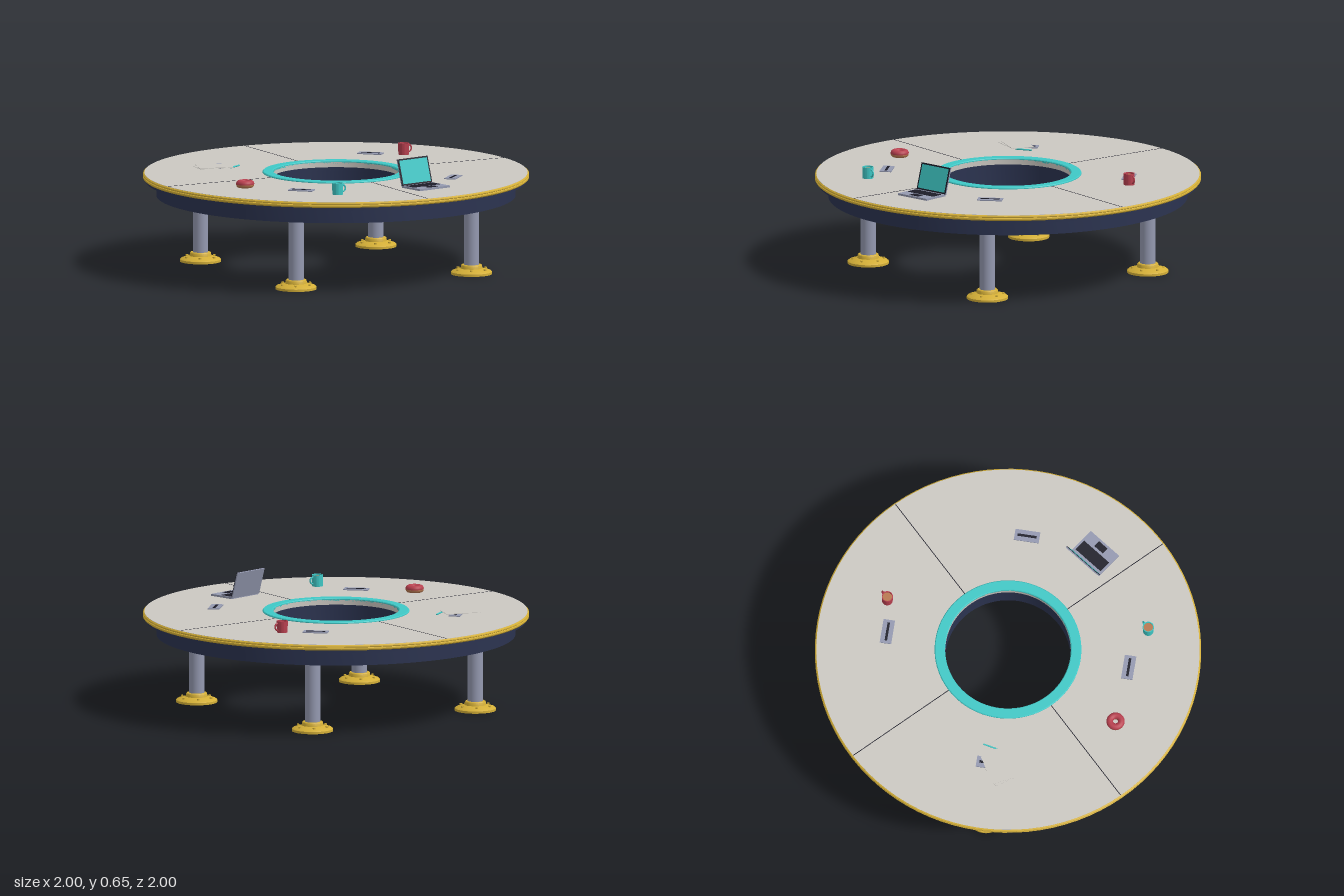
import * as THREE from 'three';
import { toCreasedNormals } from 'three/addons/utils/BufferGeometryUtils.js';

const mat = (name, color, side = THREE.FrontSide) => {
  const m = new THREE.MeshStandardMaterial({ color, side });
  m.name = name;
  return m;
};

export function createModel() {
  const desk = mat('deskGrey', 0xcbc8c2);
  const navy = mat('navy', 0x2b3350);
  const gold = mat('gold', 0xd4af37);
  const steel = mat('steel', 0x9499b0);
  const teal = mat('teal', 0x3fc8c6);
  const dark = mat('darkTrim', 0x1c1c28);
  const red = mat('red', 0xb8404f);
  const brown = mat('coffeeBrown', 0xb87850);

  const root = new THREE.Group();
  root.name = 'roundTable';

  const add = (parent, name, geo, material, x = 0, y = 0, z = 0) => {
    const m = new THREE.Mesh(geo, material);
    m.name = name;
    m.position.set(x, y, z);
    parent.add(m);
    return m;
  };
  const group = (name, x, y, z, rotY = 0) => {
    const g = new THREE.Group();
    g.name = name;
    g.position.set(x, y, z);
    g.rotation.y = rotY;
    root.add(g);
    return g;
  };
  // Revolved profile, points listed bottom to top along the outside
  const lathe = (pts, seg = 96) => toCreasedNormals(
    new THREE.LatheGeometry(pts.map(p => new THREE.Vector2(p[0], p[1])), seg), 0.6);
  // Closed ring with rectangular section
  const ring = (r0, r1, y0, y1) =>
    lathe([[r0, y0], [r1, y0], [r1, y1], [r0, y1], [r0, y0]]);

  const TOP = 0.5;

  // Table body
  add(root, 'tabletop', ring(0.325, 0.992, 0.474, TOP), desk);
  add(root, 'outerRim', lathe([[0.98, 0.47], [0.994, 0.47], [1, 0.476], [1, 0.483], [0.996, 0.486],
    [1, 0.489], [0.999, 0.494], [0.993, 0.499], [0.98, 0.499]]), gold);
  add(root, 'underBoard', ring(0.325, 0.985, 0.455, 0.474), navy);
  add(root, 'apron', ring(0.83, 0.93, 0.38, 0.456), navy);
  add(root, 'innerDrum', lathe([[0.325, 0.355], [0.388, 0.355], [0.395, 0.362], [0.395, 0.456],
    [0.325, 0.456], [0.325, 0.355]]), navy);
  add(root, 'innerRing', lathe([[0.325, 0.494], [0.38, 0.494], [0.38, 0.504], [0.376, 0.508],
    [0.329, 0.508], [0.325, 0.504], [0.325, 0.494]]), teal);

  // Panel seams
  for (let i = 0; i < 4; i++) {
    const g = group('seam', 0, TOP, 0, i * Math.PI / 2);
    add(g, 'seamLine', new THREE.BoxGeometry(0.61, 0.001, 0.004), dark, 0.685, 0.0003, 0);
  }

  // Legs with feet, bolts and collars; power outlets inboard of each
  const footGeo = lathe([[0, 0], [0.107, 0], [0.107, 0.012], [0.1, 0.018], [0.057, 0.03],
    [0.054, 0.046], [0.05, 0.05], [0, 0.05]], 40);
  const boltGeo = new THREE.CylinderGeometry(0.007, 0.007, 0.008, 6);
  for (const sx of [-1, 1]) for (const sz of [-1, 1]) {
    const leg = group('leg', sx * 0.517, 0, sz * 0.517);
    add(leg, 'post', new THREE.CylinderGeometry(0.04, 0.04, 0.41, 32), steel, 0, 0.25, 0);
    add(leg, 'foot', footGeo, gold);
    add(leg, 'collar', new THREE.CylinderGeometry(0.075, 0.075, 0.018, 32), navy, 0, 0.447, 0);
    for (let i = 0; i < 6; i++) {
      const a = i * Math.PI / 3;
      add(leg, 'bolt', boltGeo, gold, Math.cos(a) * 0.082, 0.026, Math.sin(a) * 0.082);
    }
    const outlet = group('powerOutlet', sx * 0.447, TOP, sz * 0.447, sx * sz * Math.PI / 4);
    add(outlet, 'plate', new THREE.BoxGeometry(0.13, 0.006, 0.06), steel, 0, 0.002, 0);
    add(outlet, 'slot', new THREE.BoxGeometry(0.1, 0.002, 0.013), dark, 0, 0.0055, 0);
  }

  // Laptop
  const laptop = group('laptop', 0.148, TOP, 0.605, 0.19);
  add(laptop, 'base', new THREE.BoxGeometry(0.2, 0.01, 0.145), steel, 0, 0.006, 0.073);
  add(laptop, 'keyboard', new THREE.BoxGeometry(0.178, 0.002, 0.065), dark, 0, 0.0115, 0.05);
  add(laptop, 'touchpad', new THREE.BoxGeometry(0.06, 0.002, 0.036), dark, 0, 0.0115, 0.115);
  const lid = new THREE.Group();
  lid.name = 'lid';
  lid.position.set(0, 0.008, 0);
  lid.rotation.x = -0.28;
  laptop.add(lid);
  add(lid, 'lidShell', new THREE.BoxGeometry(0.2, 0.142, 0.007), steel, 0, 0.071, -0.003);
  add(lid, 'bezel', new THREE.BoxGeometry(0.2, 0.142, 0.003), dark, 0, 0.071, 0.002);
  add(lid, 'screen', new THREE.BoxGeometry(0.184, 0.124, 0.002), teal, 0, 0.072, 0.0035);

  // Mugs
  const mug = (material, x, z) => {
    const g = group('mug', x, TOP, z);
    add(g, 'cup', lathe([[0, 0], [0.028, 0], [0.029, 0.06], [0.025, 0.06], [0.024, 0.045]], 28), material);
    const coffee = add(g, 'coffee', new THREE.CircleGeometry(0.025, 28), brown, 0, 0.052, 0);
    coffee.rotation.x = -Math.PI / 2;
    const handle = add(g, 'handle', new THREE.TorusGeometry(0.018, 0.0045, 8, 16, Math.PI), material, 0.027, 0.031, 0);
    handle.rotation.z = -Math.PI / 2;
  };
  mug(red, 0.587, -0.345);
  mug(teal, -0.343, 0.648);

  // Doughnut with icing
  const donut = group('doughnut', -0.652, TOP, 0.214);
  const bun = add(donut, 'bun', new THREE.TorusGeometry(0.03, 0.017, 14, 32), brown, 0, 0.015, 0);
  const icing = add(donut, 'icing', new THREE.TorusGeometry(0.03, 0.0175, 14, 32), red, 0, 0.02, 0);
  bun.rotation.x = icing.rotation.x = -Math.PI / 2;

  // Loose papers and pen
  [[-0.495, -0.42, -0.18], [-0.485, -0.425, -0.32]].forEach(([x, z, r], i) => {
    const p = group('paper', x, TOP + 0.007 + i * 0.002, z, r);
    add(p, 'sheet', new THREE.BoxGeometry(0.18, 0.0015, 0.12), desk);
  });
  const pen = group('pen', -0.385, TOP + 0.005, -0.385, 0.58);
  const barrel = add(pen, 'penBarrel', new THREE.CylinderGeometry(0.004, 0.004, 0.09, 10), teal);
  barrel.rotation.z = Math.PI / 2;

  return root;
}
